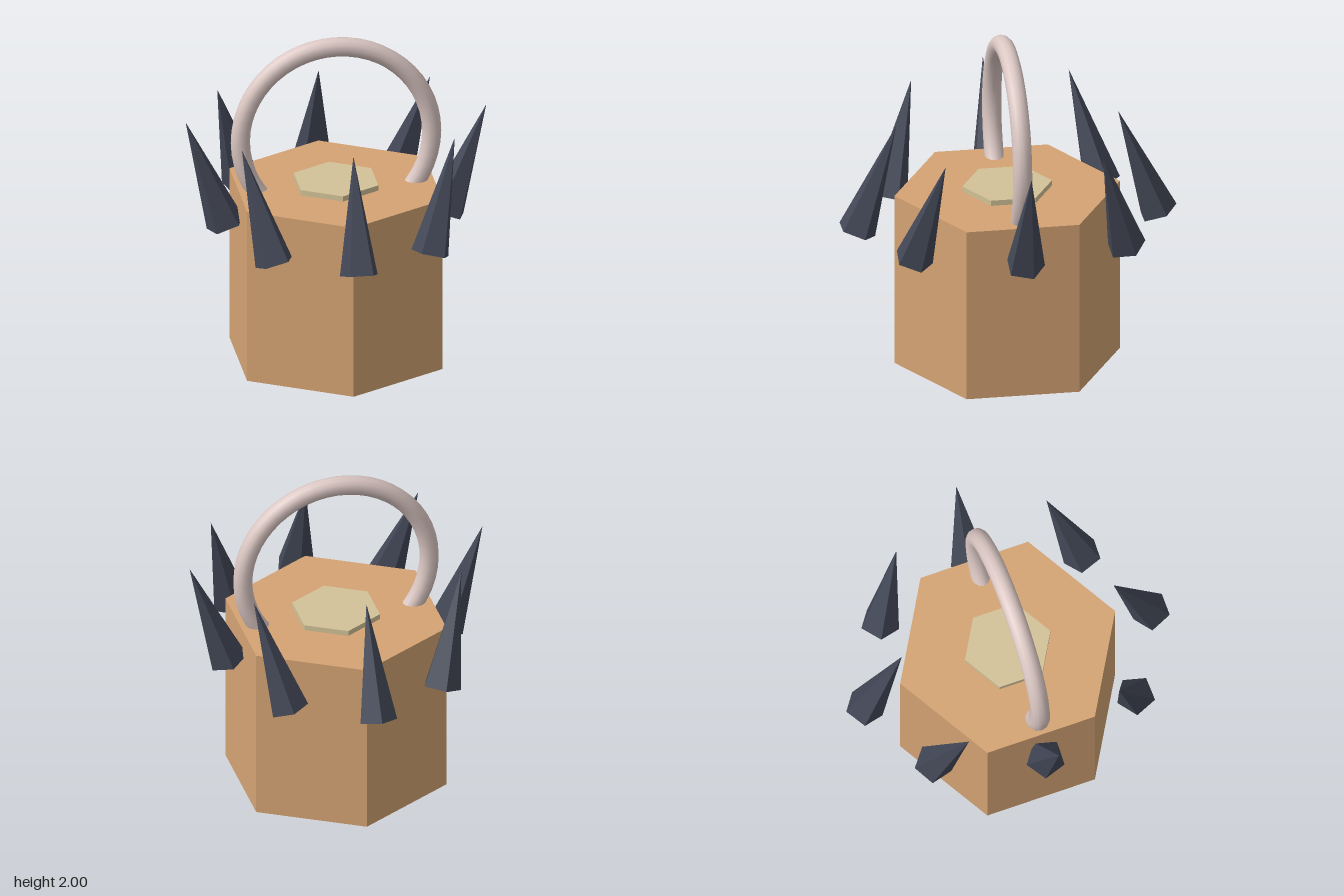
import * as THREE from 'three';

const mat = (name, color, flatShading = false) => {
  const m = new THREE.MeshStandardMaterial({ color, flatShading });
  m.name = name;
  return m;
};

export function createModel() {
  const group = new THREE.Group();
  const tan = mat('tan body', 0xd4a373, true);
  const cream = mat('cream plate', 0xd2c298, true);
  const pink = mat('pale pink handle', 0xdcc8c4);
  const slate = mat('dark slate spike', 0x434857, true);
  const cz = 0.01; // common axis of all parts

  const add = (name, geometry, material, x, y, z) => {
    const mesh = new THREE.Mesh(geometry, material);
    mesh.name = name;
    mesh.position.set(x, y, z);
    group.add(mesh);
    return mesh;
  };
  const hexPrism = (r, h) => new THREE.CylinderGeometry(r, r, h, 6);

  // Hexagonal body with a smaller plate on each end
  add('body', hexPrism(0.655, 1.05), tan, 0, 0.565, cz);
  add('topPlate', hexPrism(0.26, 0.05), cream, 0, 1.097, cz);
  add('bottomPlate', hexPrism(0.26, 0.05), cream, 0, 0.028, cz);

  // Ring handle, its open ends sunk into the body
  const sink = 0.85;
  const ring = new THREE.TorusGeometry(0.555, 0.056, 12, 40, Math.PI + 2 * sink);
  ring.rotateZ(-sink);
  add('handle', ring, pink, 0, 1.389, cz);

  // Ring of eight five-sided spikes: side ones lean out, front and back ones lean in
  const spikeGeometry = new THREE.ConeGeometry(0.115, 0.685, 5, 1, false, Math.PI);
  const lean = 0.343;
  for (let i = 0; i < 8; i++) {
    const a = (i * Math.PI) / 4;
    const c = Math.cos(a), s = Math.sin(a);
    const spike = add('spike' + (i + 1), spikeGeometry, slate, 0.757 * c, 1.208, cz + 0.76 * s);
    spike.rotation.set(-lean * s, 0, -lean * c);
  }
  return group;
}
